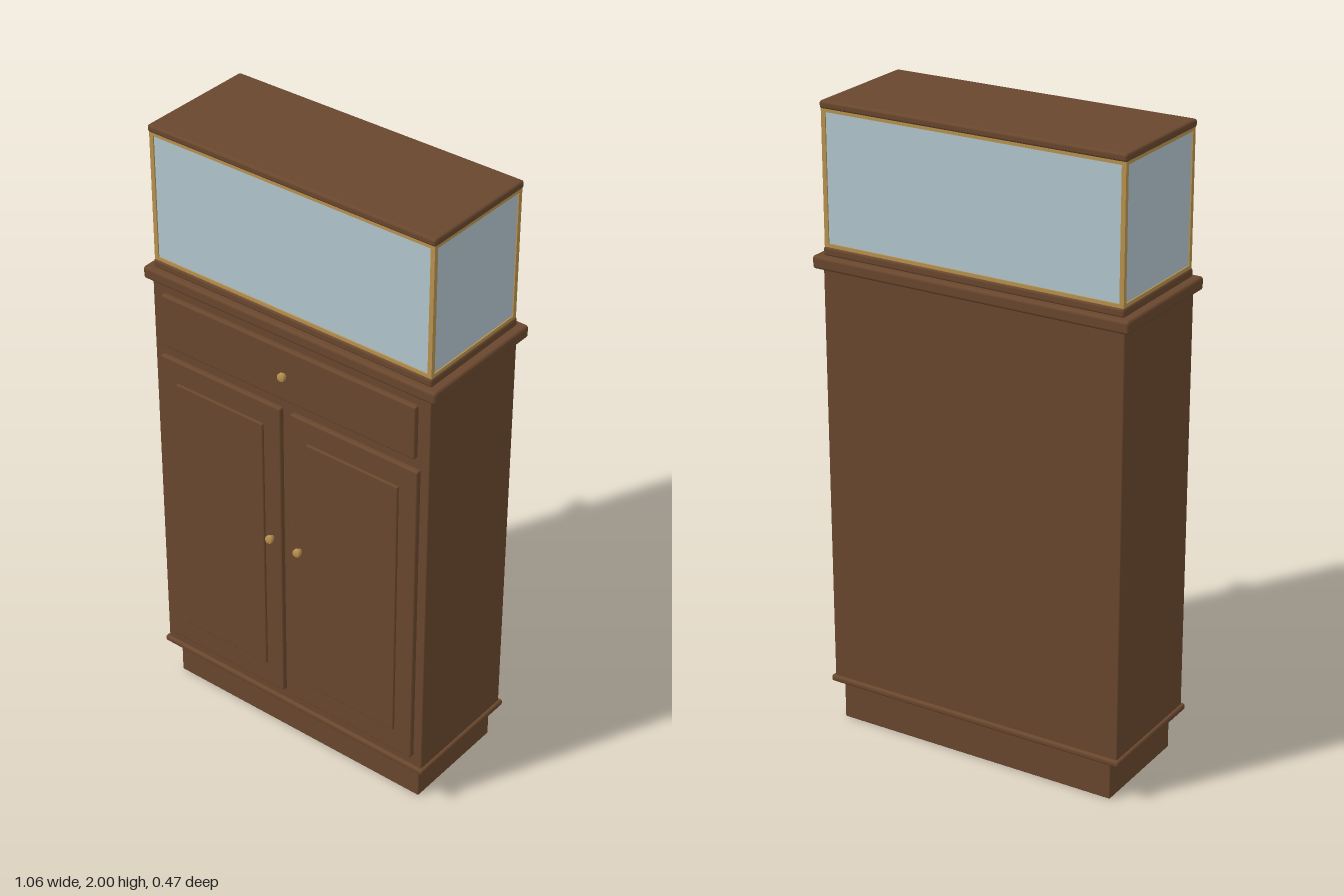
import * as THREE from 'three';
import { RoundedBoxGeometry } from 'three/addons/geometries/RoundedBoxGeometry.js';

const make = (name, color) => {
  const m = new THREE.MeshStandardMaterial({ color });
  m.name = name;
  return m;
};

export function createModel() {
  const wood = make('walnut wood', 0x69472d);
  const brass = make('brass', 0xb8924f);
  const glass = make('pale glass', 0xb2c5ce);
  const group = new THREE.Group();
  group.name = 'displayCabinet';

  // Box given by its minimum and maximum corners, with edges rounded by r
  const box = (name, mat, [x0, y0, z0], [x1, y1, z1], r = 0) => {
    const size = [x1 - x0, y1 - y0, z1 - z0];
    const geo = r ? new RoundedBoxGeometry(...size, 3, r) : new THREE.BoxGeometry(...size);
    const mesh = new THREE.Mesh(geo, mat);
    mesh.position.set((x0 + x1) / 2, (y0 + y1) / 2, (z0 + z1) / 2);
    mesh.name = name;
    group.add(mesh);
  };

  // Cabinet carcass, bottom to top
  box('plinth', wood, [-0.478, 0, -0.2], [0.478, 0.13, 0.166], 0.004);
  box('baseMoulding', wood, [-0.515, 0.125, -0.22], [0.515, 0.146, 0.202], 0.008);
  box('cabinetBody', wood, [-0.505, 0.14, -0.21], [0.505, 1.5, 0.192], 0.004);
  box('counterTop', wood, [-0.529, 1.494, -0.234], [0.529, 1.535, 0.208], 0.01);

  // Glass case: wooden base and lid around a brass-framed box
  box('caseBase', wood, [-0.503, 1.533, -0.213], [0.503, 1.561, 0.19], 0.008);
  box('glassCase', glass, [-0.495, 1.56, -0.205], [0.495, 1.978, 0.182]);
  box('caseLid', wood, [-0.503, 1.976, -0.213], [0.503, 2, 0.19], 0.008);
  const [fx, zBack, zFront, w] = [0.499, -0.209, 0.186, 0.014];
  for (const s of [-1, 1]) {
    const xs = s < 0 ? [-fx, -fx + w] : [fx - w, fx];
    for (const [z0, z1] of [[zBack, zBack + w], [zFront - w, zFront]])
      box('framePost', brass, [xs[0], 1.56, z0], [xs[1], 1.978, z1]);
  }
  for (const [y0, y1] of [[1.56, 1.571], [1.967, 1.978]])
    box('frameRail', brass, [-fx, y0, zBack], [fx, y1, zFront]);

  // Knob: turned stem and head, pointing forward
  const knobProfile = [[0, 0], [0.007, 0], [0.007, 0.008], [0.012, 0.011],
    [0.013, 0.014], [0.013, 0.022], [0.011, 0.025], [0, 0.026]].map(p => new THREE.Vector2(...p));
  const knobGeo = new THREE.LatheGeometry(knobProfile, 20).rotateX(Math.PI / 2);
  const knob = (name, x, y, z) => {
    const mesh = new THREE.Mesh(knobGeo, brass);
    mesh.position.set(x, y, z);
    mesh.name = name;
    group.add(mesh);
  };

  // Drawer
  box('drawerFront', wood, [-0.463, 1.285, 0.182], [0.463, 1.462, 0.207], 0.006);
  knob('drawerKnob', 0, 1.374, 0.202);

  // Pair of doors with raised panels
  for (const s of [-1, 1]) {
    const side = s > 0 ? 'left' : 'right';
    const span = (a, b) => (s > 0 ? [a, b] : [-b, -a]);
    const [d0, d1] = span(0.018, 0.475);
    const [p0, p1] = span(0.08, 0.412);
    box(side + 'Door', wood, [d0, 0.182, 0.182], [d1, 1.248, 0.207], 0.006);
    box(side + 'DoorPanel', wood, [p0, 0.264, 0.195], [p1, 1.172, 0.214], 0.005);
    knob(side + 'DoorKnob', s * 0.053, 0.77, 0.205);
  }
  return group;
}
